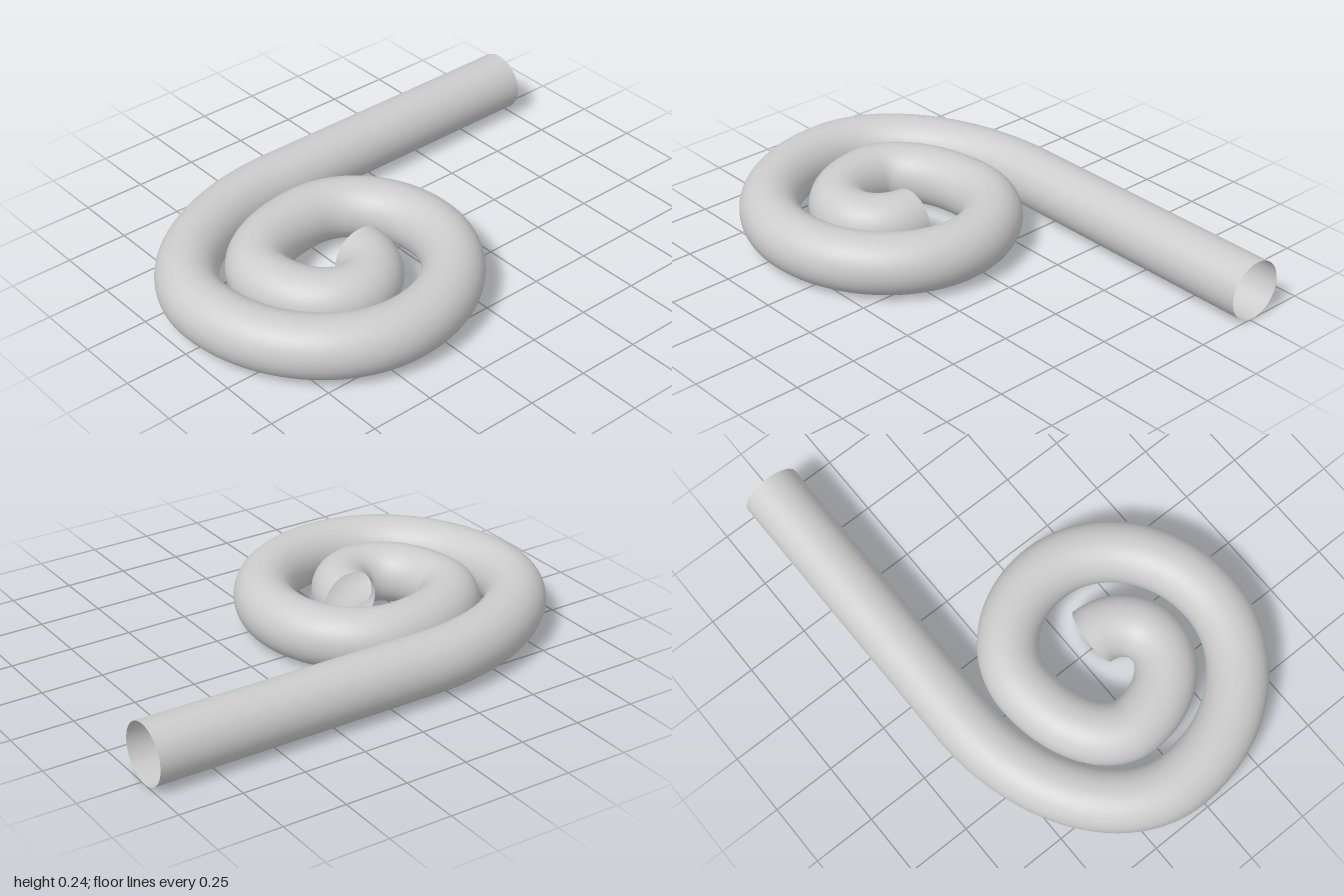
import * as THREE from 'three';

const RADIUS = 0.118;
const KAPPA = 0.5523; // bezier handle length for a quarter ellipse

export function createModel() {
  const group = new THREE.Group();
  group.name = 'spiralPipe';
  const at = (x, z) => new THREE.Vector3(x, RADIUS, z);

  // Centreline knots (x, z) from the inner mouth outwards; the heading
  // alternates between the z and x axes at each one.
  const knots = [
    [-0.243, 0.065], [-0.4, 0.243], [-0.612, -0.03], [-0.24, -0.262],
    [0.067, 0.09], [-0.4, 0.512], [-0.882, -0.03], [-0.18, -0.517],
  ];

  // Quarter-ellipse bends between knots
  const path = new THREE.CurvePath();
  for (let i = 0; i < knots.length - 1; i++) {
    const a = at(...knots[i]);
    const b = at(...knots[i + 1]);
    const corner = i % 2 === 0 ? at(a.x, b.z) : at(b.x, a.z);
    path.add(new THREE.CubicBezierCurve3(
      a, a.clone().lerp(corner, KAPPA), b.clone().lerp(corner, KAPPA), b));
  }

  // Straight outlet
  path.add(new THREE.LineCurve3(at(...knots.at(-1)), at(1, -0.517)));

  // Hollow pipe, open at both ends
  const pipe = new THREE.Mesh(
    new THREE.TubeGeometry(path, 240, RADIUS, 48, false),
    new THREE.MeshStandardMaterial({ color: 0xcccccc, side: THREE.DoubleSide }));
  pipe.name = 'coiledPipe';
  group.add(pipe);
  return group;
}
